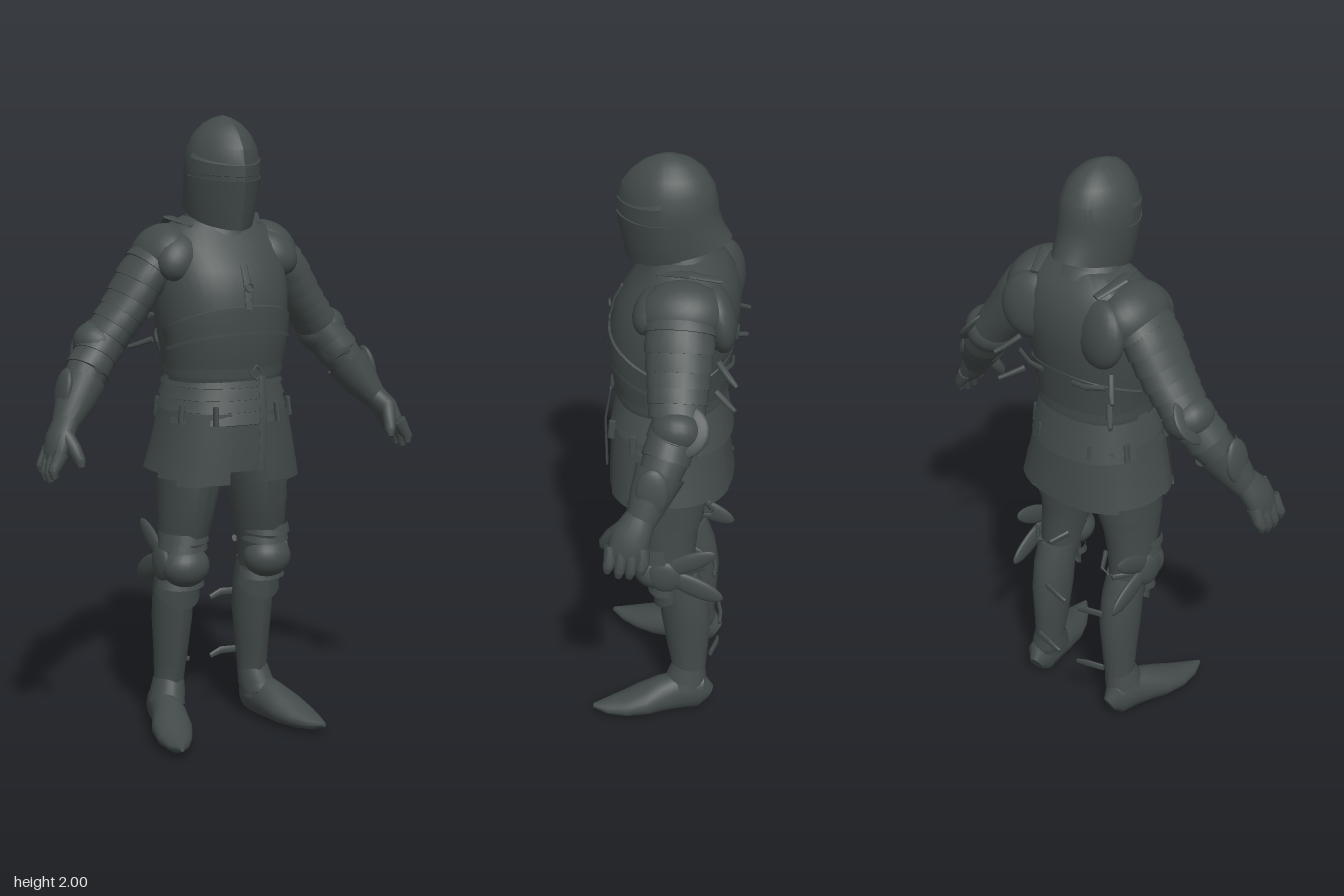
import * as THREE from 'three';
import { toCreasedNormals } from 'three/addons/utils/BufferGeometryUtils.js';

const steel = new THREE.MeshStandardMaterial({ color: 0x424a49, side: THREE.DoubleSide });
steel.name = 'dark steel';
const rad = THREE.MathUtils.degToRad, lerp = THREE.MathUtils.lerp;
const V = (x, y, z) => new THREE.Vector3(x, y, z);

function add(parent, name, geometry) {
  const m = new THREE.Mesh(geometry, steel);
  m.name = name;
  parent.add(m);
  return m;
}

// Skin a list of equally long rings of points
function skin(rings, crease) {
  const n = rings[0].length, idx = [];
  for (let r = 0; r < rings.length - 1; r++) for (let i = 0; i < n - 1; i++) {
    const a = r * n + i, b = a + n;
    idx.push(a, a + 1, b, a + 1, b + 1, b);
  }
  const g = new THREE.BufferGeometry().setFromPoints(rings.flat());
  g.setIndex(idx);
  return toCreasedNormals(g, crease);
}

function centre(ring) {
  const c = V(0, 0, 0);
  ring.slice(0, -1).forEach(p => c.add(p));
  c.divideScalar(ring.length - 1);
  return ring.map(() => c.clone());
}

// Upright shell; rows are [front y, half width, front z, back z, centre x, back y]
function shell(rows, { from = 0, to = 360, off = 0, seg = 40, pow = 1, keel = 0, cap = false } = {}) {
  const rings = rows.map(([yf, rx, zf, zb, cx = 0, yb = yf]) => {
    const ring = [];
    for (let i = 0; i <= seg; i++) {
      const a = rad(lerp(from, to, i / seg)), s = Math.sin(a), c = Math.cos(a);
      const sx = Math.sign(s) * Math.abs(s) ** pow;
      const sz = c > 0 ? lerp(c ** pow, 1 - Math.abs(s), keel) : -(Math.abs(c) ** pow);
      ring.push(V(cx + (rx + off) * sx, lerp(yb, yf, (1 + c) / 2), (zf + zb) / 2 + ((zf - zb) / 2 + off) * sz));
    }
    return ring;
  });
  if (cap) { rings.unshift(centre(rings[0])); rings.push(centre(rings.at(-1))); }
  return skin(rings, keel ? 0.35 : 0.6);
}

// Oval tube along points [x, y, z, radius along ref, other radius]
function limb(pts, ref = V(0, 0, 1), seg = 18, cap = true) {
  const P = pts.map(p => V(p[0], p[1], p[2]));
  const rings = pts.map((p, k) => {
    const t = P[Math.min(k + 1, P.length - 1)].clone().sub(P[Math.max(k - 1, 0)]).normalize();
    const u = ref.clone().addScaledVector(t, -ref.dot(t)).normalize(), v = t.clone().cross(u);
    return Array.from({ length: seg + 1 }, (_, i) => {
      const a = i / seg * Math.PI * 2;
      const q = P[k].clone().addScaledVector(u, p[3] * Math.cos(a)).addScaledVector(v, p[4] * Math.sin(a));
      q.y = Math.max(0, q.y);
      return q;
    });
  });
  if (cap) { rings.unshift(centre(rings[0])); rings.push(centre(rings.at(-1))); }
  return skin(rings, 0.7);
}

// Overlapping flared lames that follow a limb path
function lames(parent, name, pts, n, flare) {
  const at = (t, f) => {
    const s = Math.min(t, 0.999) * (pts.length - 1), i = Math.floor(s);
    return pts[i].map((v, k) => lerp(v, pts[i + 1][k], s - i) + (k > 2 ? f : 0));
  };
  for (let i = 0; i < n; i++)
    add(parent, name, limb([at(i / n, 0), at((i + 0.6) / n, flare * 0.7), at((i + 1.1) / n, flare), at((i + 1.1) / n + 0.001, 0)], V(0, 0, 1), 24, false));
}

function ball(parent, name, pos, size, rot = [0, 0, 0]) {
  const m = add(parent, name, new THREE.SphereGeometry(1, 24, 14));
  m.position.set(...pos); m.scale.set(...size); m.rotation.set(...rot);
}

function buildHead(g) {
  const rows = [[1.65, .1, .125, -.19, 0, 1.735], [1.72, .108, .14, -.165, 0, 1.775], [1.79, .114, .153, -.15, 0, 1.82],
    [1.84, .115, .156, -.148, 0, 1.85], [1.9, .107, .143, -.138], [1.945, .085, .113, -.112], [1.975, .055, .078, -.078],
    [1.992, .026, .04, -.04], [2, 0, .001, -.001]];
  add(g, 'helmet', shell(rows, { keel: .3, seg: 48 }));
  add(g, 'lowerVisor', shell([rows[0], rows[1], [1.803, .113, .155, -.15, 0, 1.83], [1.804, .105, .145, -.14, 0, 1.83]],
    { from: -95, to: 95, off: .005, keel: .3 }));
  add(g, 'upperVisor', shell([[1.815, .11, .148, -.14, 0, 1.84], [1.817, .113, .153, -.15, 0, 1.84], [1.85, .113, .153, -.148, 0, 1.9], [1.86, .106, .14, -.14, 0, 1.92]],
    { from: -85, to: 85, off: .004, keel: .3 }));
  add(g, 'neck', limb([[0, 1.58, -.05, .1, .09], [0, 1.68, -.03, .085, .08], [0, 1.8, -.01, .085, .08]]));
  lames(g, 'gorgetLame', [[0, 1.72, -.025, .08, .085], [0, 1.66, -.035, .105, .105], [0, 1.61, -.045, .13, .135]], 3, .008);
}

function buildTorso(g) {
  const body = [[1.18, .183, .155, -.175], [1.25, .193, .17, -.182], [1.35, .208, .182, -.2], [1.45, .215, .178, -.218],
    [1.53, .212, .152, -.222], [1.6, .2, .105, -.205], [1.65, .175, .06, -.175], [1.685, .11, .04, -.13]];
  add(g, 'cuirass', shell(body, { pow: .9, cap: true }));
  add(g, 'plackart', shell([...body.slice(0, 2), [1.35, .206, .183, -.2, 0, 1.31], [1.42, .212, .181, -.21, 0, 1.25], [1.425, .202, .17, -.2, 0, 1.25]],
    { from: -88, to: 88, off: .006, pow: .9 }));
  add(g, 'plackartBorder', shell([[1.335, .204, .182, -.2, 0, 1.2], [1.345, .204, .182, -.2, 0, 1.21]], { from: -80, to: 80, off: .01, pow: .9 }));
  add(g, 'lowerBackplate', shell([...body.slice(0, 2), [1.2, .205, .18, -.198, 0, 1.36], [1.2, .198, .17, -.19, 0, 1.365]],
    { from: 100, to: 260, off: .005, pow: .9 }));
  add(g, 'breastStrap', limb([[0, 1.545, .145, .005, .012], [0, 1.5, .168, .006, .013], [0, 1.41, .188, .005, .013]]));
  for (const y of [1.43, 1.48]) add(g, 'breastBuckle', new THREE.TorusGeometry(.013, .003, 6, 14)).position.set(0, y, .184);

  // Waist belt and hanging end
  add(g, 'belt', shell([[1.195, .185, .162, -.18], [1.225, .187, .164, -.18]], { off: .008, pow: .9 }));
  add(g, 'beltBuckle', new THREE.TorusGeometry(.022, .005, 6, 4)).position.set(.03, 1.21, .176);
  add(g, 'beltEnd', limb([[.05, 1.2, .178, .004, .012], [.045, 1.08, .198, .004, .012], [.04, .9, .197, .004, .013]]));

  // Fauld lames, skirt and tassets
  for (let i = 0; i < 4; i++) {
    const y = 1.205 - i * .038, w = .178 + i * .006, z = .156 + i * .007;
    add(g, 'fauldLame', shell([[y, w, z, -z - .02], [y - .041, w + .016, z + .012, -z - .03], [y - .045, w + .004, z, -z - .02]], { pow: .9 }));
  }
  add(g, 'skirt', shell([[1.07, .2, .174, -.18], [1, .21, .177, -.188], [.9, .224, .178, -.195]], { pow: .9 }));
  add(g, 'hips', shell([[1.12, .18, .15, -.17], [1, .19, .14, -.17], [.92, .16, .1, -.14]], { cap: true }));
  const half = [[14, 34, .862], [34, 56, .858], [56, 80, .875], [80, 106, .892], [106, 132, .888], [132, 156, .878], [156, 181, .872]];
  for (const flip of [1, -1]) half.forEach(([a, b, low], i) => {
    add(g, 'tasset', shell([[1.085, .2, .18, -.185], [.98, .222, .187, -.197], [low, .247, .19, -.212], [low, .238, .18, -.203]],
      { from: flip * (a - 1.5), to: flip * (b + 1.5), off: i % 2 ? .005 : -.001, pow: .86, seg: 6 }));
  });
  for (const a of [30, 62, 120, 152, 208, 240, 298, 330]) {
    const s = Math.sin(rad(a)), c = Math.cos(rad(a)), x = .212 * s, z = .192 * c;
    add(g, 'tassetStrap', limb([[x, 1.11, z, .012, .008], [x * 1.03, 1.05, z * 1.03, .012, .008]]));
  }
}

function buildArm(g) {
  // Shoulder plates
  ball(g, 'pauldron', [.185, 1.575, -.06], [.1, .082, .125], [0, 0, -.75]);
  ball(g, 'shoulderBladePlate', [.135, 1.53, -.165], [.1, .11, .052], [.15, .25, 0]);
  ball(g, 'shoulderFrontPlate', [.165, 1.565, .03], [.085, .07, .055], [-.5, 0, -.75]);
  add(g, 'shoulderStrap', limb([[.11, 1.66, .02, .014, .006], [.15, 1.682, -.08, .02, .006], [.12, 1.65, -.17, .014, .006]], V(1, 0, 0)));
  // Upper arm
  const upper = [[.17, 1.595, -.06, .1, .07], [.243, 1.517, -.06, .103, .07], [.312, 1.405, -.063, .092, .066], [.375, 1.32, -.065, .08, .062]];
  add(g, 'upperArm', limb(upper));
  lames(g, 'armLame', upper, 7, .006);
  // Elbow
  ball(g, 'elbowCop', [.4, 1.295, -.07], [.082, .07, .082], [0, 0, .6]);
  ball(g, 'elbowWing', [.425, 1.31, -.08], [.085, .016, .09], [.2, 0, -.95]);
  // Forearm and gauntlet
  const fore = [[.385, 1.31, -.068, .075, .066], [.45, 1.22, -.04, .07, .066], [.515, 1.125, -.005, .055, .053], [.558, 1.06, .025, .045, .038]];
  add(g, 'forearm', limb(fore));
  lames(g, 'forearmLame', fore.slice(0, 2), 2, .005);
  add(g, 'gauntletCuff', limb([[.472, 1.19, -.027, .078, .073], [.51, 1.13, -.003, .064, .061], [.55, 1.072, .02, .049, .042]], V(0, 0, 1), 24, false));
  ball(g, 'cuffPoint', [.543, 1.165, -.012], [.02, .075, .05], [0, 0, .2]);
  add(g, 'hand', limb([[.548, 1.08, .02, .046, .038], [.58, 1.035, .045, .06, .039], [.6, .99, .057, .06, .031], [.612, .965, .06, .047, .02]]));
  for (let i = 0; i < 4; i++) {
    const z = .008 + i * .033, d = i === 0 || i === 3 ? .015 : 0;
    add(g, 'finger', limb([[.598, 1, z, .02, .024], [.62, .96, z, .019, .02], [.629, .93 + d, z + .004, .017, .017], [.627, .908 + d, z + .008, .011, .01]], V(0, 0, 1), 10));
  }
  add(g, 'thumb', limb([[.575, 1.05, .075, .025, .025], [.56, 1.01, .11, .023, .022], [.55, .975, .132, .019, .018], [.548, .955, .14, .009, .009]], V(0, 0, 1), 10));
  // Side straps on the cuirass
  add(g, 'sideStrap', limb([[.18, 1.4, -.17, .01, .01], [.215, 1.365, -.21, .01, .008], [.235, 1.35, -.232, .007, .007]]));
  add(g, 'sideStrap', limb([[.17, 1.285, -.165, .01, .01], [.205, 1.265, -.205, .01, .008], [.225, 1.255, -.228, .007, .007]]));
  add(g, 'backStrap', limb([[.06, 1.345, -.207, .005, .01], [.11, 1.35, -.208, .005, .01], [.17, 1.36, -.185, .005, .01]], V(0, 0, 1), 8));
}

function buildLeg(g) {
  const thigh = [[.53, .147, .064, .035, -.1], [.62, .143, .071, .072, -.1], [.72, .133, .08, .108, -.108],
    [.85, .12, .094, .133, -.138], [1, .108, .096, .125, -.155]];
  const swap = ([y, cx, rx, zf, zb]) => [y, rx, zf, zb, cx];
  add(g, 'thigh', shell(thigh.map(swap), { cap: true }));
  add(g, 'thighPlate', shell(thigh.slice(1, 4).map(swap), { from: -100, to: 115, off: .003, keel: .12 }));
  add(g, 'thighStrap', shell([[.77, .084, .115, -.12, .13], [.795, .086, .119, -.125, .128]], { off: .003 }));
  const greave = [[.07, .162, .046, -.015, -.145], [.15, .155, .047, -.03, -.14], [.25, .15, .053, -.01, -.148],
    [.38, .147, .064, .01, -.155], [.48, .147, .066, .02, -.14], [.56, .147, .065, .03, -.11]];
  add(g, 'greave', shell(greave.map(swap), { cap: true, keel: .2 }));
  // Knee plates and wings
  ball(g, 'kneeCop', [.148, .575, .03], [.08, .068, .072]);
  for (const [y, z] of [[.645, .085], [.675, .097], [.515, .05]])
    add(g, 'kneeLame', shell([[y - .018, .078, z, -.07, .147, y], [y + .014, .074, z - .008, -.07, .146, y + .02]], { from: -105, to: 105, off: .003 }));
  add(g, 'shinFlap', shell([[.53, .07, .042, -.1, .147, .55], [.43, .076, .034, -.1, .147, .53], [.43, .068, .02, -.1, .147, .53]], { from: -85, to: 95, seg: 12, keel: .2 }));
  ball(g, 'kneeWing', [.212, .645, -.085], [.014, .034, .1], [.48, 0, 0]);
  ball(g, 'kneeWing', [.212, .55, -.105], [.014, .037, .105], [-.45, 0, 0]);
  ball(g, 'kneeRoundel', [.215, .585, -.01], [.02, .06, .055]);
  // Loose straps behind the leg
  add(g, 'kneeStrap', limb([[.08, .62, -.07, .008, .012], [.11, .6, -.125, .006, .012], [.16, .59, -.13, .006, .012], [.2, .6, -.09, .006, .012]], V(1, 0, 0), 8));
  for (const [y, x, z] of [[.41, .03, -.15], [.2, .04, -.17]])
    add(g, 'greaveStrap', limb([[x + .1, y + .01, z + .015, .007, .012], [x + .04, y + .008, z, .007, .013], [x, y - .006, z, .006, .009]], V(0, 0, 1), 8));
  // Pointed foot
  add(g, 'foot', limb([[.163, .055, -.152, .022, .035], [.168, .07, -.125, .046, .068], [.178, .073, -.06, .05, .073], [.192, .064, 0, .058, .064],
    [.212, .05, .06, .066, .05], [.232, .038, .125, .056, .035], [.247, .034, .185, .034, .022], [.257, .04, .23, .006, .008]], V(1, 0, 0), 24));
  lames(g, 'footLame', [[.155, .17, -.085, .056, .05], [.163, .12, -.078, .066, .053], [.17, .09, -.07, .07, .054]], 2, .003);
}

export function createModel() {
  const model = new THREE.Group();
  model.name = 'armouredKnight';
  const part = (name, build, flip = 1) => {
    const g = new THREE.Group();
    g.name = name;
    g.scale.x = flip;
    build(g);
    model.add(g);
  };
  part('head', buildHead);
  part('torso', buildTorso);
  for (const [side, flip] of [['left', 1], ['right', -1]]) {
    part(side + 'Arm', buildArm, flip);
    part(side + 'Leg', buildLeg, flip);
  }
  return model;
}
